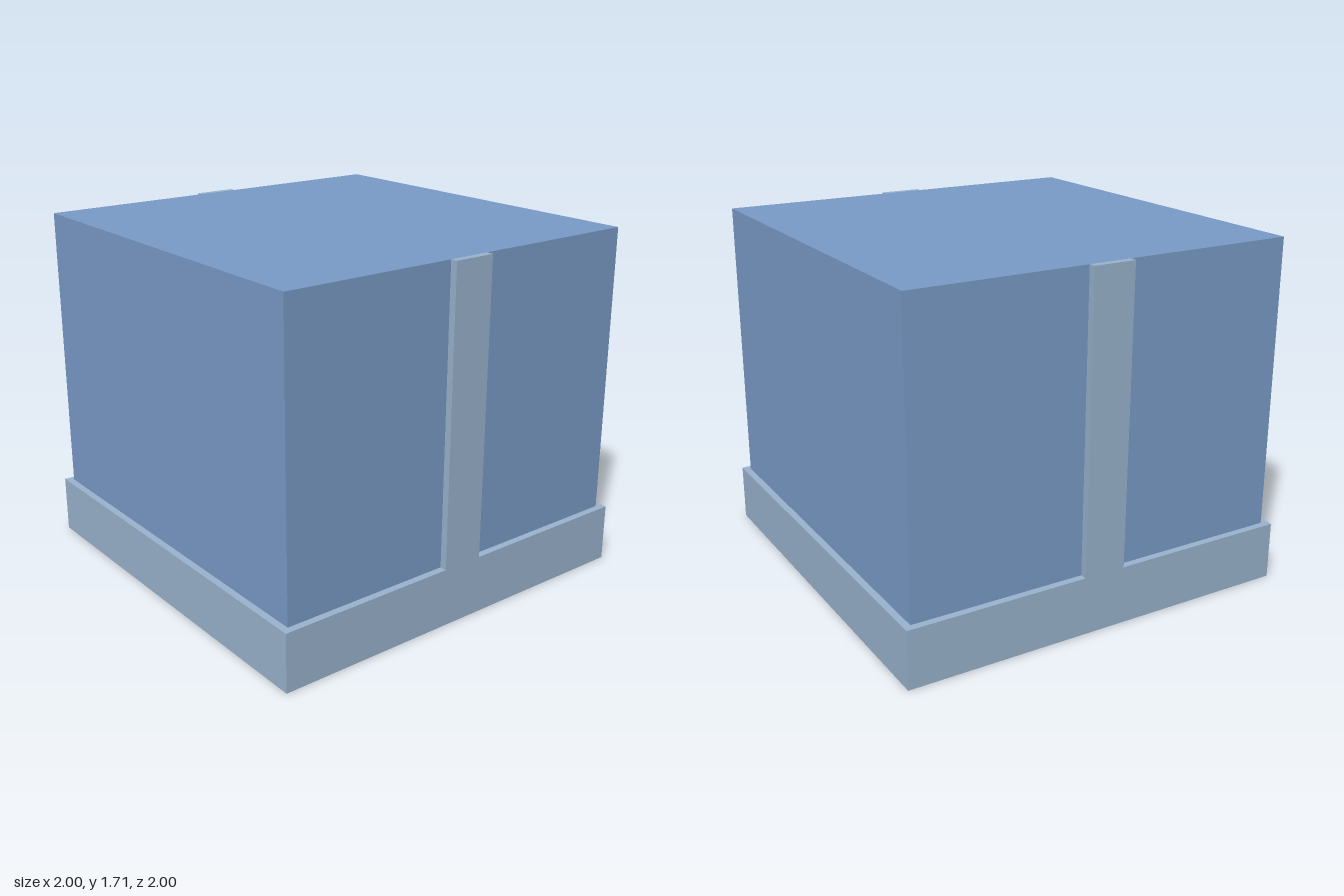
import * as THREE from 'three';

const BASE_H = 0.285, TOP = 1.715, HALF = 0.965;

export function createModel() {
  const model = new THREE.Group();
  model.name = 'packedBox';

  const blue = new THREE.MeshStandardMaterial({ color: 0x7a9cc8 });
  blue.name = 'mid blue';
  const paleBlue = new THREE.MeshStandardMaterial({ color: 0x9ab4cf });
  paleBlue.name = 'pale grey blue';

  function addBox(name, material, w, h, d, x, y, z) {
    const mesh = new THREE.Mesh(new THREE.BoxGeometry(w, h, d), material);
    mesh.name = name;
    mesh.position.set(x, y, z);
    model.add(mesh);
  }

  const bodyH = TOP - BASE_H, midY = (TOP + BASE_H) / 2;

  // Square plinth, slightly wider than the body
  addBox('base', paleBlue, 2, BASE_H, 2, 0, BASE_H / 2, 0);

  // Main block
  addBox('body', blue, HALF * 2, bodyH, HALF * 2, 0, midY, 0);

  // Upright strips, flush with the plinth and the top of the block
  for (const [name, side] of [['frontStrip', 1], ['backStrip', -1]]) {
    addBox(name, paleBlue, 0.21, bodyH, 1 - HALF, 0, midY, side * (1 + HALF) / 2);
  }

  return model;
}
